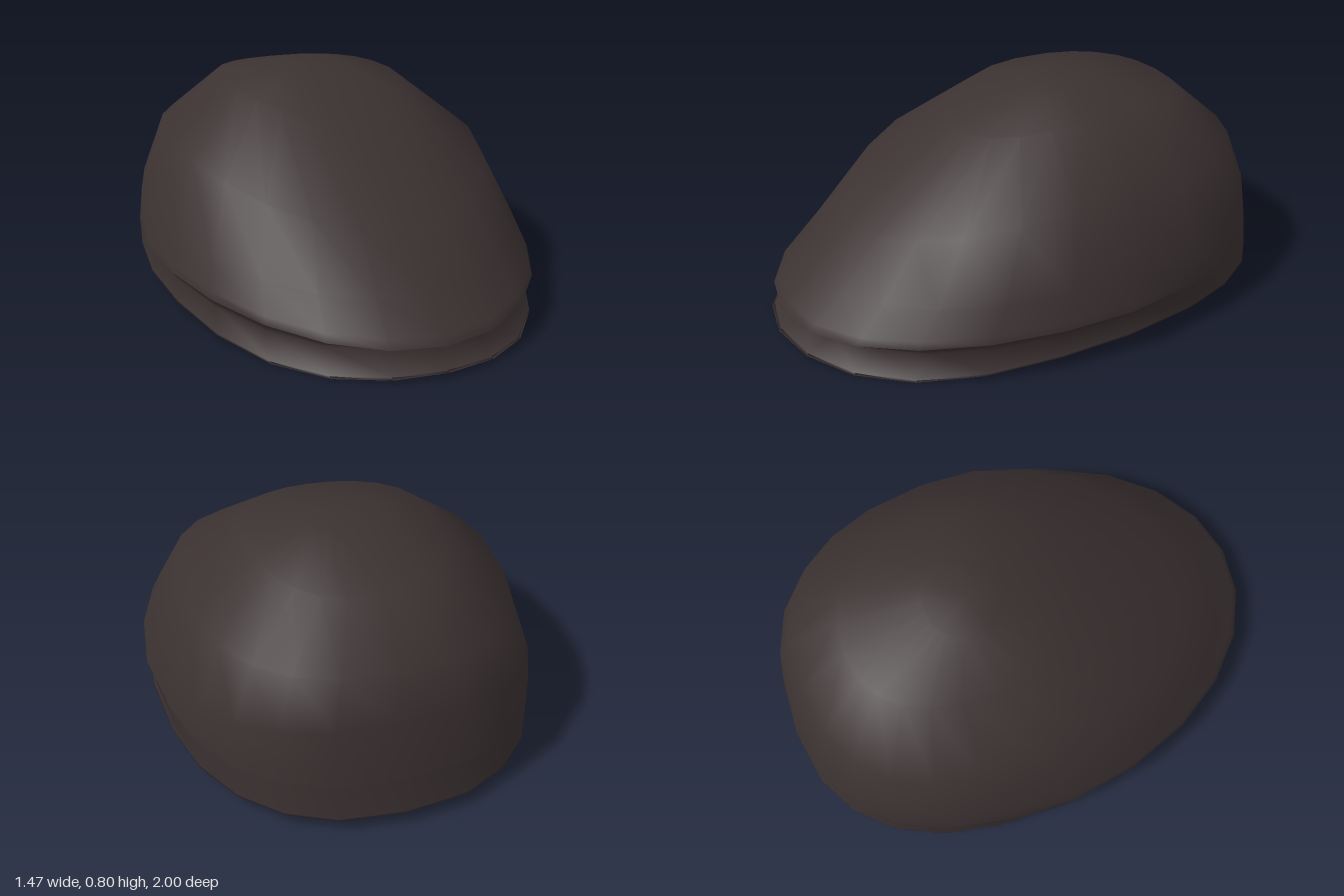
import * as THREE from 'three';

const COLUMNS = 24;

// Each ring: [front z, front y, side x, side y, centre z, back z, back y, back half-width]
const CROWN = [
  [0.85, 0.235, 0.70, 0.30, -0.10, -0.94, 0.41, 0.70],
  [0.67, 0.40, 0.60, 0.56, -0.15, -0.88, 0.565, 0.60],
  [0.25, 0.68, 0.355, 0.755, -0.22, -0.68, 0.74, 0.355],
  [-0.07, 0.795, 0.14, 0.805, -0.22, -0.36, 0.81, 0.14],
  [-0.20, 0.81, 0, 0.81, -0.20, -0.20, 0.81, 0],
];
const LINING_FOOT = [0.80, 0.06, 0.675, 0.13, -0.08, -0.96, 0.14, 0.675];
const INNER_RIM = [0.95, 0.03, 0.695, 0.075, -0.08, -0.98, 0.067, 0.695];
const EDGE = [1.00, 0.03, 0.72, 0.07, -0.08, -1.00, 0.063, 0.71];
const CREASE = [0.88, 0.075, 0.70, 0.14, -0.08, -0.989, 0.13, 0.712];
const LIP = [0.98, 0.116, 0.735, 0.182, -0.08, -0.977, 0.20, 0.715];

// The lining is the crown drawn slightly inward; extra rings keep the folds tight
const inset = (ring) => ring.map((value) => value * 0.95);
const between = (a, b, t) => a.map((value, i) => THREE.MathUtils.lerp(value, b[i], t));
const RINGS = [
  ...CROWN.map(inset).reverse(), LINING_FOOT, INNER_RIM,
  EDGE, between(EDGE, CREASE, 0.1), CREASE, between(CREASE, LIP, 0.9),
  LIP, between(LIP, CROWN[0], 0.2), ...CROWN,
];
const EDGE_ROW = RINGS.indexOf(EDGE), LIP_ROW = RINGS.indexOf(LIP), TOP = RINGS.length - 1;

// Point on a ring: an ellipse in front, a fuller curve at the back
function ringPoint([fz, fy, sx, sy, cz, bz, by, bx], angle) {
  const c = Math.cos(angle), s = Math.sin(angle);
  const front = c >= 0;
  const power = front ? 1 : 2 / 2.4;
  const width = sx + (bx - sx) * THREE.MathUtils.smoothstep(-c, 0, 0.25);
  const x = width * Math.sign(s) * Math.abs(s) ** power;
  const z = cz + ((front ? fz : bz) - cz) * Math.abs(c) ** power;
  // The brim droops on both sides of its middle
  const k = c * c;
  const dip = front ? 0.16 * k * (1 - k) * THREE.MathUtils.clamp((0.18 - sy) / 0.1, 0, 1) : 0;
  const y = sy + ((front ? fy : by) - sy) * k - dip;
  return [x, y, z];
}

// Indices of the faces between two rings; the first and last rings are single points
function bandIndex(from, to) {
  const id = (i, j) => i * COLUMNS + (i === 0 || i === TOP ? 0 : j % COLUMNS);
  const index = [];
  for (let i = from; i < to; i++) {
    for (let j = 0; j < COLUMNS; j++) {
      const a = id(i, j), b = id(i, j + 1), c = id(i + 1, j + 1), d = id(i + 1, j);
      if (a !== b) index.push(a, b, d);
      if (c !== d) index.push(b, c, d);
    }
  }
  return index;
}

export function createModel() {
  const cap = new THREE.Group();
  cap.name = 'flatCap';
  const cloth = new THREE.MeshStandardMaterial({ color: 0x3b3131, side: THREE.DoubleSide });
  cloth.name = 'dark brown cloth';

  // One shared skin keeps the shading smooth across the parts
  const points = [];
  for (const ring of RINGS) {
    for (let j = 0; j < COLUMNS; j++) points.push(...ringPoint(ring, (j / COLUMNS) * Math.PI * 2));
  }
  const skin = new THREE.BufferGeometry();
  skin.setAttribute('position', new THREE.Float32BufferAttribute(points, 3));
  skin.setIndex(bandIndex(0, TOP));
  skin.computeVertexNormals();

  const addPart = (name, from, to) => {
    const geometry = new THREE.BufferGeometry();
    geometry.setAttribute('position', skin.attributes.position);
    geometry.setAttribute('normal', skin.attributes.normal);
    geometry.setIndex(bandIndex(from, to));
    const mesh = new THREE.Mesh(geometry, cloth);
    mesh.name = name;
    cap.add(mesh);
  };
  addPart('lining', 0, EDGE_ROW);
  addPart('brimAndBand', EDGE_ROW, LIP_ROW);
  addPart('crown', LIP_ROW, TOP);
  return cap;
}
